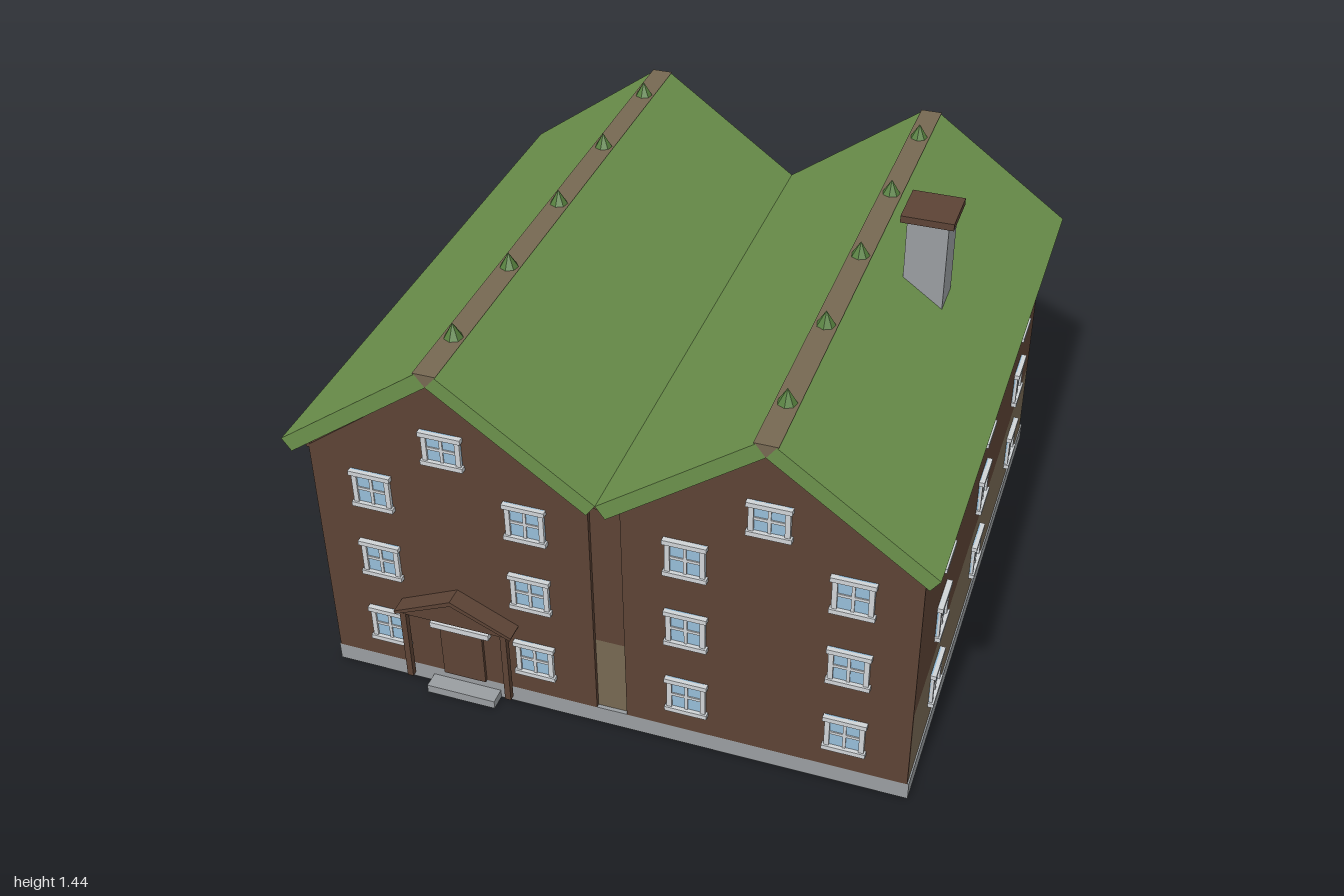
import * as THREE from 'three';

const mat = (name, color) => Object.assign(new THREE.MeshStandardMaterial({ color }), { name });

export function createModel() {
  const house = new THREE.Group();
  house.name = 'house';
  const timber = mat('brown timber', 0x5c4335);
  const plaster = mat('tan plaster', 0x766852);
  const stone = mat('grey stone', 0x999da0);
  const grass = mat('green roof', 0x6b904b);
  const leaf = mat('dark green', 0x557f3d);
  const frameMat = mat('window frame grey', 0xcfd3d6);
  const glassMat = mat('glass blue', 0x96bdd8);

  const add = (parent, name, geometry, material, x = 0, y = 0, z = 0) => {
    const mesh = new THREE.Mesh(geometry, material);
    mesh.name = name;
    mesh.position.set(x, y, z);
    parent.add(mesh);
    return mesh;
  };
  // Box given by its limits on each axis
  const box = (parent, name, material, [x0, x1], [y0, y1], [z0, z1]) =>
    add(parent, name, new THREE.BoxGeometry(x1 - x0, y1 - y0, z1 - z0), material,
      (x0 + x1) / 2, (y0 + y1) / 2, (z0 + z1) / 2);
  // Outline in x and y, extruded from z0 to z1
  const prism = (parent, name, material, points, z0, z1) => {
    const shape = new THREE.Shape(points.map(([x, y]) => new THREE.Vector2(x, y)));
    const geometry = new THREE.ExtrudeGeometry(shape, { depth: z1 - z0, bevelEnabled: false });
    return add(parent, name, geometry, material, 0, 0, z0);
  };

  // Plinth and main walls
  box(house, 'foundation', stone, [-0.955, 0.955], [0, 0.063], [-0.943, 0.938]);
  box(house, 'lowerWalls', plaster, [-0.95, 0.95], [0.063, 0.345], [-0.927, 0.925]);
  box(house, 'upperWalls', timber, [-0.95, 0.95], [0.345, 0.885], [-0.927, 0.925]);
  box(house, 'atticFloor', timber, [-0.96, 0.96], [0.882, 0.898], [-0.937, 0.937]);

  // Twin gabled halves: front cladding, back gable, roof slabs and ridge
  for (const side of [-1, 1]) {
    const cx = side * 0.5;
    const half = new THREE.Group();
    half.name = side < 0 ? 'rightHalf' : 'leftHalf';
    half.position.x = cx;
    house.add(half);

    prism(half, 'frontCladding', timber,
      [[-0.45, 0.063], [0.45, 0.063], [0.45, 0.893], [0, 1.23], [-0.45, 0.893]], 0.925, 0.939);
    prism(half, 'backGable', timber,
      [[-0.45, 0.885], [0.45, 0.885], [0.45, 0.893], [0, 1.23], [-0.45, 0.893]], -0.929, -0.91);

    for (const s of [-1, 1]) {
      const outline = [[0, 1.25], [0.471, 0.908], [0.5, 0.949], [0.03, 1.29]].map(([x, y]) => [s * x, y]);
      prism(half, 'roofSlab', grass, outline, -1, 1);
    }
    prism(half, 'ridgeBeam', plaster, [[0, 1.25], [0.036, 1.293], [-0.036, 1.293]], -1, 1);
    for (const z of [-0.8, -0.4, 0, 0.4, 0.8]) {
      const cone = new THREE.ConeGeometry(0.03, 0.05, 7).toNonIndexed();
      cone.computeVertexNormals();
      add(half, 'ridgeTuft', cone, leaf, 0, 1.317, z);
    }
  }

  // Chimney
  box(house, 'chimney', stone, [0.63, 0.76], [0.898, 1.42], [-0.167, -0.037]);
  box(house, 'chimneyCap', timber, [0.612, 0.778], [1.42, 1.443], [-0.185, -0.019]);

  // Window facing +z, centred on the wall surface
  const addWindow = (x, y, z, turn, height = 0.135) => {
    const win = new THREE.Group();
    win.name = 'window';
    win.position.set(x, y, z);
    win.rotation.y = turn;
    house.add(win);
    const w = 0.062, h = height / 2, t = 0.016;
    box(win, 'glass', glassMat, [-w, w], [-h, h], [-0.002, 0.005]);
    for (const s of [-1, 1]) {
      const a = s * w, b = s * (w - t), c = s * h, d = s * (h - t);
      box(win, 'frameStile', frameMat, [Math.min(a, b), Math.max(a, b)], [-h, h], [-0.002, 0.012]);
      box(win, s < 0 ? 'sill' : 'lintel', frameMat, [-w - 0.006, w + 0.006],
        [Math.min(c, d), Math.max(c, d)], [-0.002, 0.018]);
    }
    box(win, 'mullion', frameMat, [-0.005, 0.005], [-h, h], [-0.002, 0.009]);
    box(win, 'crossbar', frameMat, [-w, w], [-0.005, 0.005], [-0.002, 0.009]);
  };
  for (const y of [0.213, 0.492, 0.77]) {
    for (const x of [-0.75, -0.25, 0.25, 0.75]) addWindow(x, y, 0.939, 0);
    for (const p of [-0.62, 0, 0.62]) {
      addWindow(p, y, -0.927, Math.PI);
      addWindow(0.95, y, p, Math.PI / 2);
      addWindow(-0.95, y, p, -Math.PI / 2);
    }
  }
  for (const x of [-0.5, 0.5]) {
    addWindow(x, 0.985, 0.939, 0, 0.12);
    addWindow(x, 0.985, -0.929, Math.PI, 0.12);
  }

  // Entrance: door, step and gabled porch
  const porch = new THREE.Group();
  porch.name = 'porch';
  porch.position.x = -0.5;
  house.add(porch);
  box(porch, 'step', stone, [-0.117, 0.117], [0, 0.03], [0.93, 0.992]);
  box(porch, 'door', timber, [-0.072, 0.072], [0.063, 0.262], [0.935, 0.95]);
  box(porch, 'doorLintel', frameMat, [-0.1, 0.1], [0.262, 0.283], [0.935, 0.96]);
  for (const s of [-1, 1]) {
    box(porch, 'porchPost', timber, [s * 0.17 - 0.01, s * 0.17 + 0.01], [0.063, 0.335], [0.977, 0.997]);
    prism(porch, 'porchRoofSlab', timber,
      [[0, 0.415], [s * 0.195, 0.327], [s * 0.199, 0.338], [0, 0.432]], 0.935, 1);
  }
  prism(porch, 'porchGable', timber, [[-0.18, 0.332], [0.18, 0.332], [0, 0.417]], 0.94, 0.996);

  return house;
}
